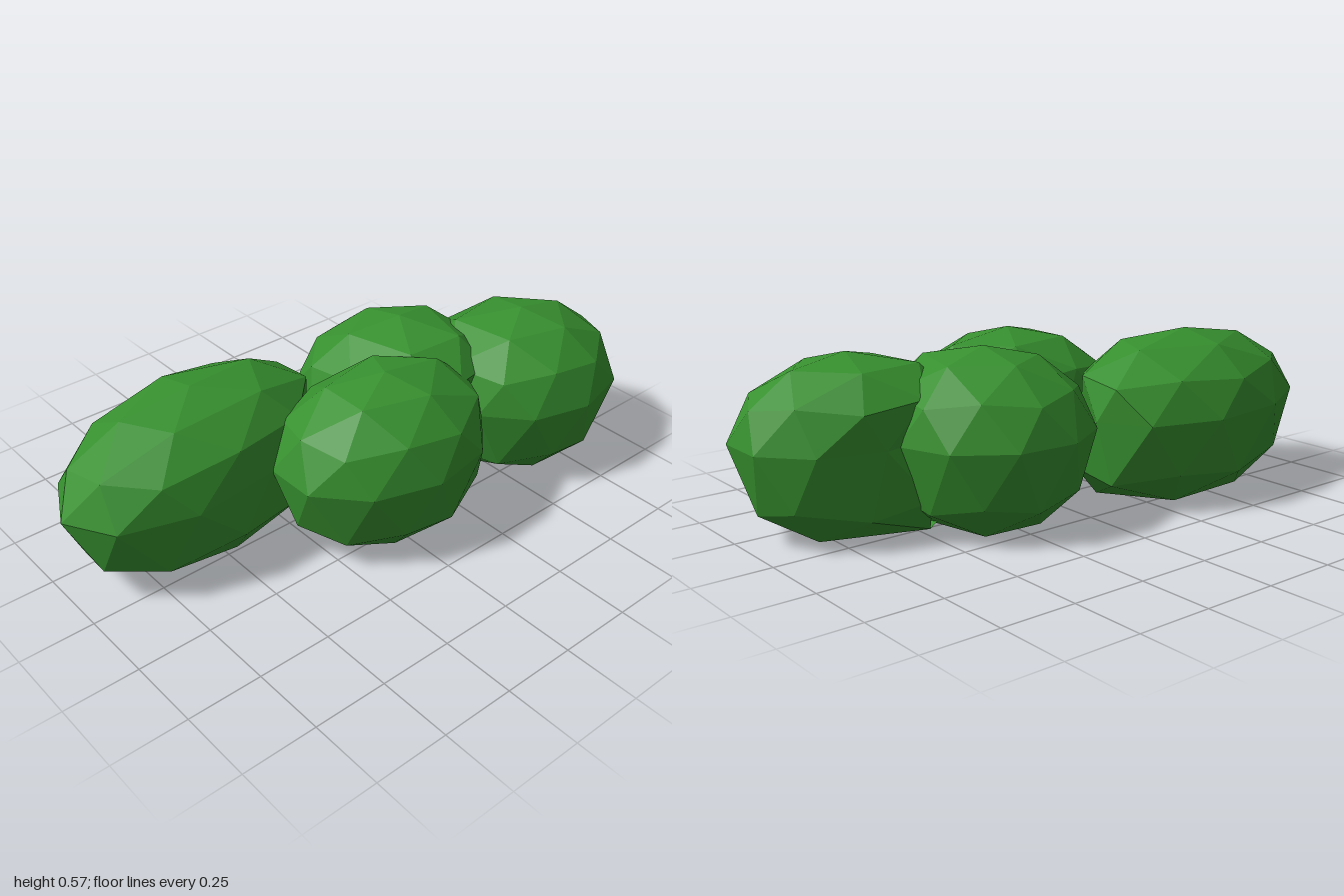
import * as THREE from 'three';

const leafGreen = new THREE.MeshStandardMaterial({ color: 0x37902f, side: THREE.DoubleSide });
leafGreen.name = 'leaf green';
leafGreen.flatShading = true;

const CENTRE_Y = 0.31;
const BELOW = 0.4; // the lower half is deeper, then cut off at the floor

// inner: direction towards the middle of the bush, where each clump bulges
const CLUMPS = [
  { name: 'longClump', x: -0.515, z: -0.18, rx: 0.485, rz: 0.29, top: 0.557, floor: 0, facetTurn: 18, shear: -0.124, inner: [0.1, 0.04] },
  { name: 'backClump', x: 0.285, z: -0.1, rx: 0.335, rz: 0.3, top: 0.573, floor: 0.01, facetTurn: 18, shear: 0.06, inner: [0, 0.15] },
  { name: 'frontClump', x: -0.012, z: 0.18, rx: 0.372, rz: 0.287, top: 0.57, floor: 0.012, facetTurn: 0, shear: 0.06, inner: [0.08, -0.03] },
  { name: 'leftClump', x: 0.67, z: 0.18, rx: 0.345, rz: 0.288, top: 0.567, floor: 0.01, facetTurn: 0, shear: 0, inner: [-0.09, -0.1] },
];

// Place a point of the unit sphere on a clump
function shapePoint(v, c) {
  const [ix, iz] = c.inner;
  const facing = Math.max(0, (v.x * ix + v.z * iz) / Math.hypot(ix, iz));
  const bulge = v.y > 0 ? v.y * (0.25 + facing) : 3 * v.y * v.y * facing - 0.15 * v.y;
  const height = CENTRE_Y + v.y * (v.y > 0 ? c.top - CENTRE_Y : BELOW);
  const x = v.x * c.rx + ix * bulge;
  const z = v.z * c.rz + iz * bulge + c.shear * v.x * c.rx;
  return new THREE.Vector3(c.x + x, Math.max(height, c.floor + 0.04 * facing), c.z + z);
}

function isInside(p, c) {
  const dx = p.x - c.x;
  const dz = p.z - c.z - c.shear * dx;
  const dy = p.y - CENTRE_Y;
  const h = dy > 0 ? c.top - CENTRE_Y : BELOW;
  return (dx / c.rx) ** 2 + (dy / h) ** 2 + (dz / c.rz) ** 2 < 1;
}

// One faceted clump: a pole-up icosphere, open underneath,
// without the faces buried in a neighbouring clump
function makeClump(c) {
  const sphere = new THREE.IcosahedronGeometry(1, 1);
  sphere.rotateZ(-Math.atan(2 / (1 + Math.sqrt(5)))); // put a vertex at the top
  sphere.rotateY(THREE.MathUtils.degToRad(c.facetTurn));
  const others = CLUMPS.filter((o) => o !== c);
  const source = sphere.attributes.position;
  const points = [];
  for (let i = 0; i < source.count; i += 3) {
    const corners = [0, 1, 2].map((k) => new THREE.Vector3().fromBufferAttribute(source, i + k));
    if (corners.some((v) => v.y < -0.95)) continue; // open bottom
    const face = corners.map((v) => shapePoint(v, c));
    if (others.some((o) => face.every((p) => isInside(p, o)))) continue;
    points.push(...face);
  }
  const geometry = new THREE.BufferGeometry().setFromPoints(points);
  geometry.computeVertexNormals();
  const mesh = new THREE.Mesh(geometry, leafGreen);
  mesh.name = c.name;
  return mesh;
}

export function createModel() {
  const bush = new THREE.Group();
  bush.name = 'bush';
  for (const c of CLUMPS) bush.add(makeClump(c));
  return bush;
}
